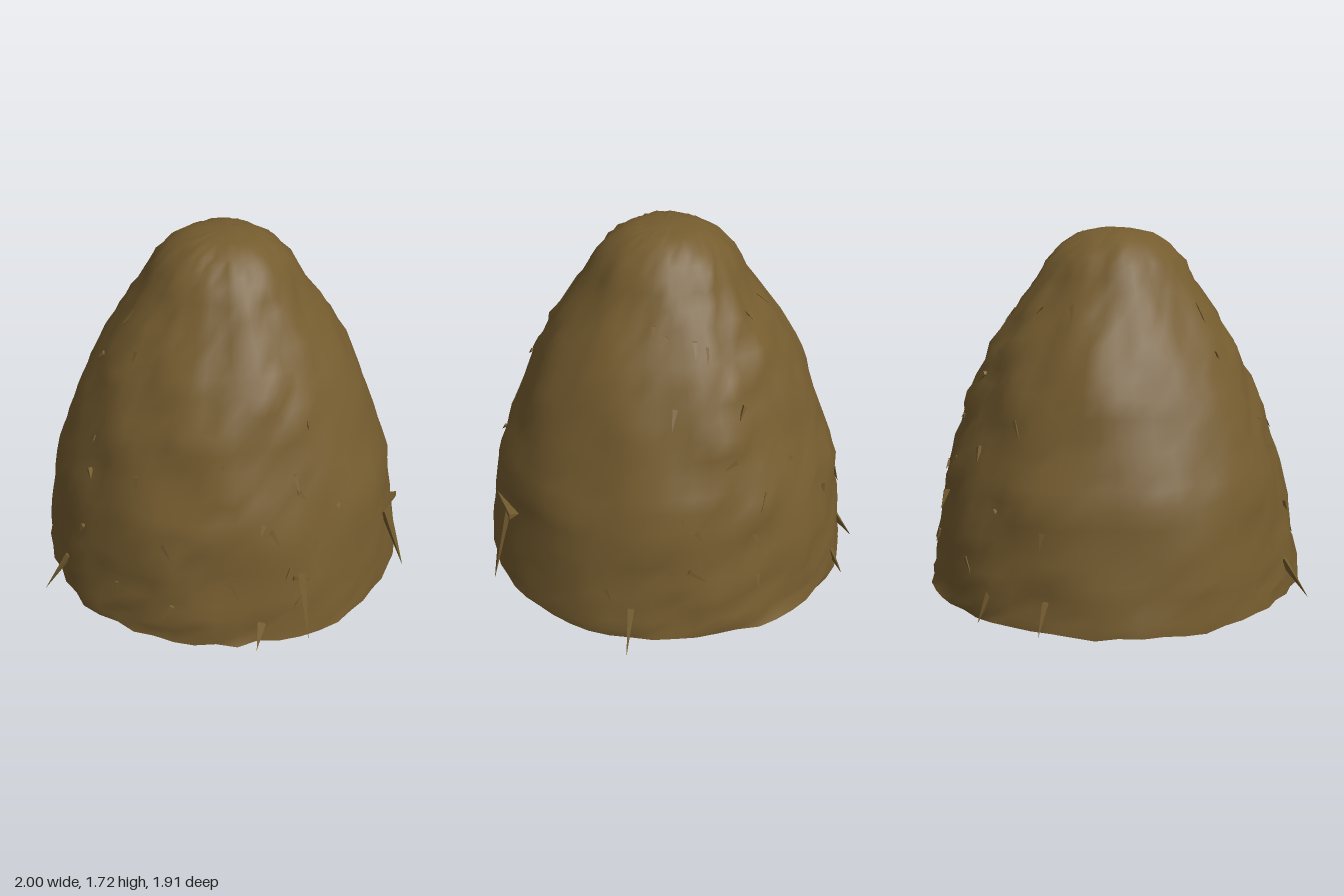
import * as THREE from 'three';

// outline of the stack: radius, height
const PROFILE = [
  [0.895, 0.03], [0.885, 0.12], [0.87, 0.24], [0.845, 0.4], [0.82, 0.57], [0.765, 0.72],
  [0.71, 0.87], [0.655, 1.02], [0.58, 1.17], [0.49, 1.31], [0.39, 1.45], [0.325, 1.57],
  [0.255, 1.645], [0.175, 1.695], [0.08, 1.715],
];
const SIDES = 56;

function seeded(seed) {
  return () => {
    seed = (seed * 16807) % 2147483647;
    return seed / 2147483647;
  };
}

function geometryFrom(points, index) {
  const g = new THREE.BufferGeometry();
  g.setAttribute('position', new THREE.Float32BufferAttribute(points.flat(), 3));
  g.setIndex(index);
  g.computeVertexNormals();
  return g;
}

// radius of the stack at a height
function radiusAt(y) {
  for (let i = 1; i < PROFILE.length; i++) {
    const [r0, y0] = PROFILE[i - 1], [r1, y1] = PROFILE[i];
    if (y <= y1) return r0 + (r1 - r0) * Math.max(0, (y - y0) / (y1 - y0));
  }
  return 0;
}

// a point on the stack; angle 0 is +x, a quarter turn is +z
function onStack(angle, y, lift = 0) {
  const r = radiusAt(y) + lift;
  return new THREE.Vector3(Math.cos(angle) * r, y, Math.sin(angle) * r - 0.01);
}

// pointed three-sided straw blade, from a broad root to a sharp tip
function bladeGeometry(root, tip, width, depth) {
  const out = new THREE.Vector3(root.x, 0, root.z).normalize();
  const along = tip.clone().sub(root).normalize();
  const side = new THREE.Vector3().crossVectors(along, out).normalize().multiplyScalar(width / 2);
  const back = root.clone().addScaledVector(out, -depth);
  const p = [root.clone().add(side), root.clone().sub(side), back, tip];
  return geometryFrom(p.map(v => v.toArray()), [0, 1, 3, 1, 2, 3, 2, 0, 3, 0, 2, 1]).toNonIndexed();
}

export function createModel() {
  const model = new THREE.Group();
  const hay = new THREE.MeshStandardMaterial({ color: 0x755c2f, side: THREE.DoubleSide });
  hay.name = 'dry hay';
  const add = (name, geometry) => {
    geometry.computeVertexNormals();
    const mesh = new THREE.Mesh(geometry, hay);
    mesh.name = name;
    model.add(mesh);
  };
  const random = seeded(4217);

  // lumpy domed body, rougher on the front right and back left
  const points = [], index = [];
  const rows = PROFILE.length * 2 - 1;
  for (let j = 0; j < rows; j++) {
    const k = j >> 1, half = j % 2;
    const a = PROFILE[k], b = PROFILE[Math.min(k + 1, PROFILE.length - 1)];
    const r0 = half ? (a[0] + b[0]) / 2 : a[0], y0 = half ? (a[1] + b[1]) / 2 : a[1];
    const fade = Math.min(1, r0 / 0.5);
    for (let i = 0; i < SIDES; i++) {
      const t = (i / SIDES) * Math.PI * 2;
      const rough = 0.004 + 0.01 * Math.pow(Math.sin(t - Math.PI / 4), 2);
      const lumps = 0.008 * Math.sin(5 * t + 4 * y0) + 0.006 * Math.sin(9 * t - 7 * y0 + 1);
      const r = r0 + fade * (lumps + rough * (random() * 2 - 1) * 1.3);
      const y = y0 + (j === 0 ? -0.018 * Math.pow(random(), 4) : (random() - 0.5) * 0.02 * fade);
      points.push([Math.cos(t) * r, y, Math.sin(t) * r - 0.01]);
    }
  }
  const top = points.push([0.04, 1.722, 0]) - 1;
  for (let j = 0; j < rows; j++) {
    for (let i = 0; i < SIDES; i++) {
      const n = (i + 1) % SIDES;
      const a = j * SIDES + i, b = j * SIDES + n;
      if (j === rows - 1) index.push(a, top, b);
      else index.push(a, a + SIDES, b, b, a + SIDES, b + SIDES);
    }
  }
  add('haystackBody', geometryFrom(points, index));

  // flat underside sharing the ragged rim
  const rim = points.slice(0, SIDES);
  const fan = [];
  for (let i = 0; i < SIDES; i++) fan.push(SIDES, i, (i + 1) % SIDES);
  add('underside', geometryFrom([...rim, [0, 0.03, -0.01]], fan));

  // large loose blades around the foot: root, tip, width
  const blades = [
    [[-0.88, 0.2, 0], [-1.0, 0.03, -0.015], 0.03],
    [[0.885, 0.19, -0.01], [1.0, 0.005, -0.01], 0.03],
    [[-0.085, 0.36, 0.86], [-0.1, 0.06, 0.95], 0.04],
    [[0.51, 0.42, 0.69], [0.61, 0.04, 0.73], 0.08],
    [[-0.28, 0.14, 0.83], [-0.33, 0.03, 0.87], 0.04],
    [[-0.07, 0.16, -0.88], [-0.075, 0.03, -0.96], 0.03],
    [[0.22, 0.16, -0.87], [0.245, 0.03, -0.93], 0.03],
  ];
  for (const [root, tip, width] of blades) {
    add('looseBlade', bladeGeometry(new THREE.Vector3(...root), new THREE.Vector3(...tip), width, 0.05));
  }

  // ragged lip above the broad front blade
  add('bladeLip', bladeGeometry(new THREE.Vector3(0.61, 0.42, 0.63), new THREE.Vector3(0.42, 0.43, 0.75), 0.03, 0.05));

  // short straws lying against the rough sides
  for (let i = 0; i < 44; i++) {
    const t = (i % 2 ? Math.PI * 0.75 : -Math.PI * 0.25) + (random() - 0.5) * 2;
    const y = 0.15 + random() * 1.3;
    const root = onStack(t, y, 0.008);
    const tip = onStack(t + (random() - 0.5) * 0.2, Math.max(0.04, y - 0.02 - random() * 0.07), 0.014);
    add('straw', bladeGeometry(root, tip, 0.025, 0.03));
  }
  return model;
}
